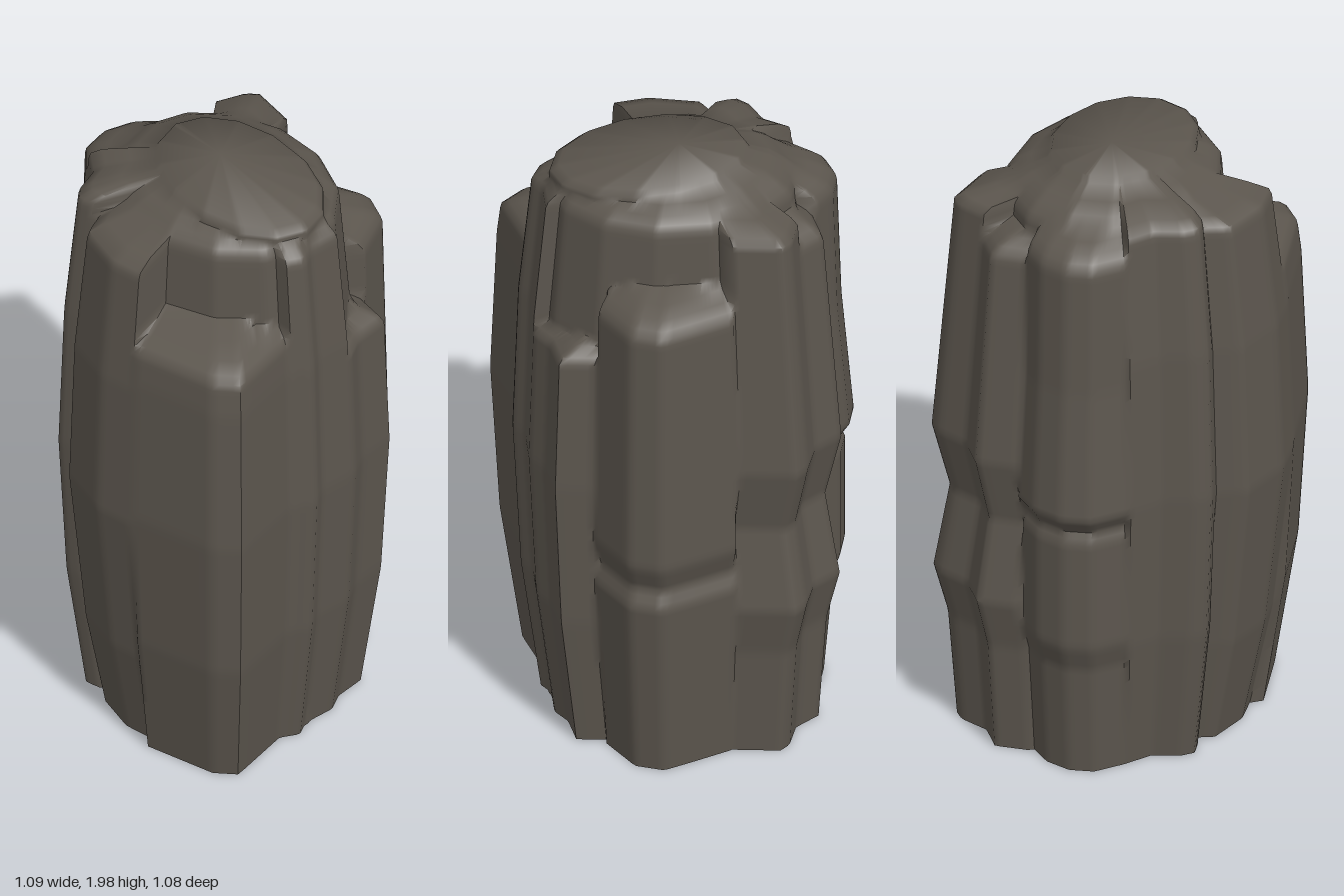
import * as THREE from 'three';
import { toCreasedNormals } from 'three/addons/utils/BufferGeometryUtils.js';

const SIDES = 180, ROWS = 98, STEP = 0.02;

// Widest outline of the rock [x, z], from the front round by the left side
const HULL = [
  [-0.06, 0.51], [0, 0.473], [0.13, 0.475], [0.2, 0.432], [0.325, 0.415],
  [0.34, 0.3], [0.505, 0.21], [0.545, 0.11], [0.5, 0], [0.44, -0.14],
  [0.465, -0.315], [0.43, -0.35], [0.32, -0.385], [0.25, -0.475], [0.12, -0.455],
  [0.04, -0.52], [-0.06, -0.545], [-0.15, -0.52], [-0.23, -0.43], [-0.3, -0.33],
  [-0.4, -0.29], [-0.44, -0.25], [-0.42, -0.17], [-0.505, -0.13], [-0.55, 0.05],
  [-0.53, 0.18], [-0.455, 0.47], [-0.39, 0.54], [-0.13, 0.475],
];

// How each column swells with height: [height, scale about the axis]
const PLAIN = [[0, 0.83], [0.45, 0.95], [0.95, 1], [1.45, 0.965], [1.9, 0.875]];
const RIGHT = [[0, 0.76], [0.36, 0.89], [0.92, 1], [1.42, 0.965], [1.9, 0.865]];
const LEFT = [[0, 0.865], [0.62, 0.985], [0.68, 0.935], [0.77, 1], [1.58, 0.965]];
const CORNER = [[0, 0.86], [0.37, 0.91], [0.54, 0.99], [0.82, 0.9], [1.04, 1], [1.87, 0.87]];
const BACK = [[0, 0.83], [0.38, 0.89], [0.47, 0.95], [0.84, 0.95], [0.88, 0.92], [0.94, 1], [1.37, 0.93], [1.78, 0.905]];
const STRAIGHT = [[0, 1]];

// Outer column: a run of the hull with its shoulder height and rounding
const sector = (from, to, top, bevel, rise, swell = PLAIN) => ({
  outline: Array.from({ length: to - from + 1 }, (_, i) => HULL[(from + i) % HULL.length]),
  top, bevel, rise, swell,
});

// Inner column: an oval
const oval = (cz, rx, rz, top, bevel, rise, swell = PLAIN) => ({
  outline: Array.from({ length: 15 }, (_, i) => {
    const a = i / 14 * Math.PI * 2;
    return [rx * Math.sin(a), cz + rz * Math.cos(a)];
  }),
  top, bevel, rise, swell,
});

const COLUMNS = [
  oval(0.02, 0.37, 0.44, 1.9, 0.05, 0.06),           // core
  oval(0.09, 0.22, 0.31, 1.97, 0.04, 0.04, STRAIGHT), // cap
  sector(28, 31, 1.89, 0.05, 0.06),                  // front
  sector(2, 5, 1.42, 0.02, 0.06),                    // front left shoulder
  sector(5, 9, 1.65, 0.07, 0.06, LEFT),              // left side
  sector(9, 12, 1.87, 0.03, 0.03, CORNER),           // back left corner
  sector(12, 14, 1.8, 0.06, 0.06, CORNER),           // back left ridge
  sector(14, 18, 1.86, 0.08, 0.06, BACK),            // back
  sector(18, 22, 1.9, 0.03, 0.04),                   // back right corner
  sector(22, 25, 1.85, 0.02, 0.04, RIGHT),           // right side
  sector(25, 28, 1.58, 0.03, 0.08),                  // front right shoulder
];

// Reads a value from a list of [height, value] pairs
function sample(curve, y) {
  const k = curve.findIndex(c => c[0] >= y);
  if (k < 0) return curve[curve.length - 1][1];
  if (k === 0) return curve[0][1];
  const [y0, v0] = curve[k - 1], [y1, v1] = curve[k];
  return v0 + (v1 - v0) * (y - y0) / (y1 - y0);
}

// Farthest distance from the axis to an outline along direction (dx, dz)
function reach(outline, dx, dz) {
  let far = 0;
  for (let i = 0; i < outline.length - 1; i++) {
    const [x, z] = outline[i], [x1, z1] = outline[i + 1];
    const ex = x1 - x, ez = z1 - z, den = dx * ez - dz * ex;
    if (Math.abs(den) < 1e-9) continue;
    const u = (x * dz - z * dx) / den;
    if (u >= 0 && u <= 1) far = Math.max(far, (x * ez - z * ex) / den);
  }
  return far;
}

// Column scale at a height: swell, then a rounded shoulder closing to nothing
function scaleAt({ top, bevel, rise, swell }, y) {
  const t = Math.max(0, (y - top + bevel) / (bevel + rise));
  return t >= 1 ? 0 : sample(swell, y) * Math.sqrt(1 - t * t);
}

// One open-bottomed shell wrapped round all the columns
function shellGeometry() {
  const pos = [], index = [];
  const rays = Array.from({ length: SIDES }, (_, i) => {
    const a = i / SIDES * Math.PI * 2, dx = Math.sin(a), dz = Math.cos(a);
    return { dx, dz, reaches: COLUMNS.map(c => reach(c.outline, dx, dz)) };
  });
  // The cap rises slightly towards the back
  const lean = (y, z) => y - 0.08 * z * THREE.MathUtils.smoothstep(y, 1.88, 1.96);
  for (let k = 0; k <= ROWS; k++) {
    const y = k * STEP;
    const scales = COLUMNS.map(c => scaleAt(c, y));
    for (const { dx, dz, reaches } of rays) {
      const r = Math.max(...reaches.map((d, j) => d * scales[j]));
      pos.push(dx * r, lean(y, dz * r), dz * r);
    }
  }
  const tip = pos.length / 3;
  pos.push(0, ROWS * STEP + 0.02, 0);
  for (let i = 0; i < SIDES; i++) {
    const j = (i + 1) % SIDES;
    for (let k = 0; k < ROWS; k++) {
      const a = k * SIDES + i, b = k * SIDES + j;
      index.push(a, b, b + SIDES, a, b + SIDES, a + SIDES);
    }
    index.push(ROWS * SIDES + i, ROWS * SIDES + j, tip);
  }
  const g = new THREE.BufferGeometry();
  g.setAttribute('position', new THREE.Float32BufferAttribute(pos, 3));
  g.setIndex(index);
  return toCreasedNormals(g, 1);
}

export function createModel() {
  const group = new THREE.Group();
  group.name = 'rockPillar';
  const stone = new THREE.MeshStandardMaterial({ color: 0x5c564e, side: THREE.DoubleSide });
  stone.name = 'dark stone';
  const shell = new THREE.Mesh(shellGeometry(), stone);
  shell.name = 'rockShell';
  group.add(shell);
  return group;
}
